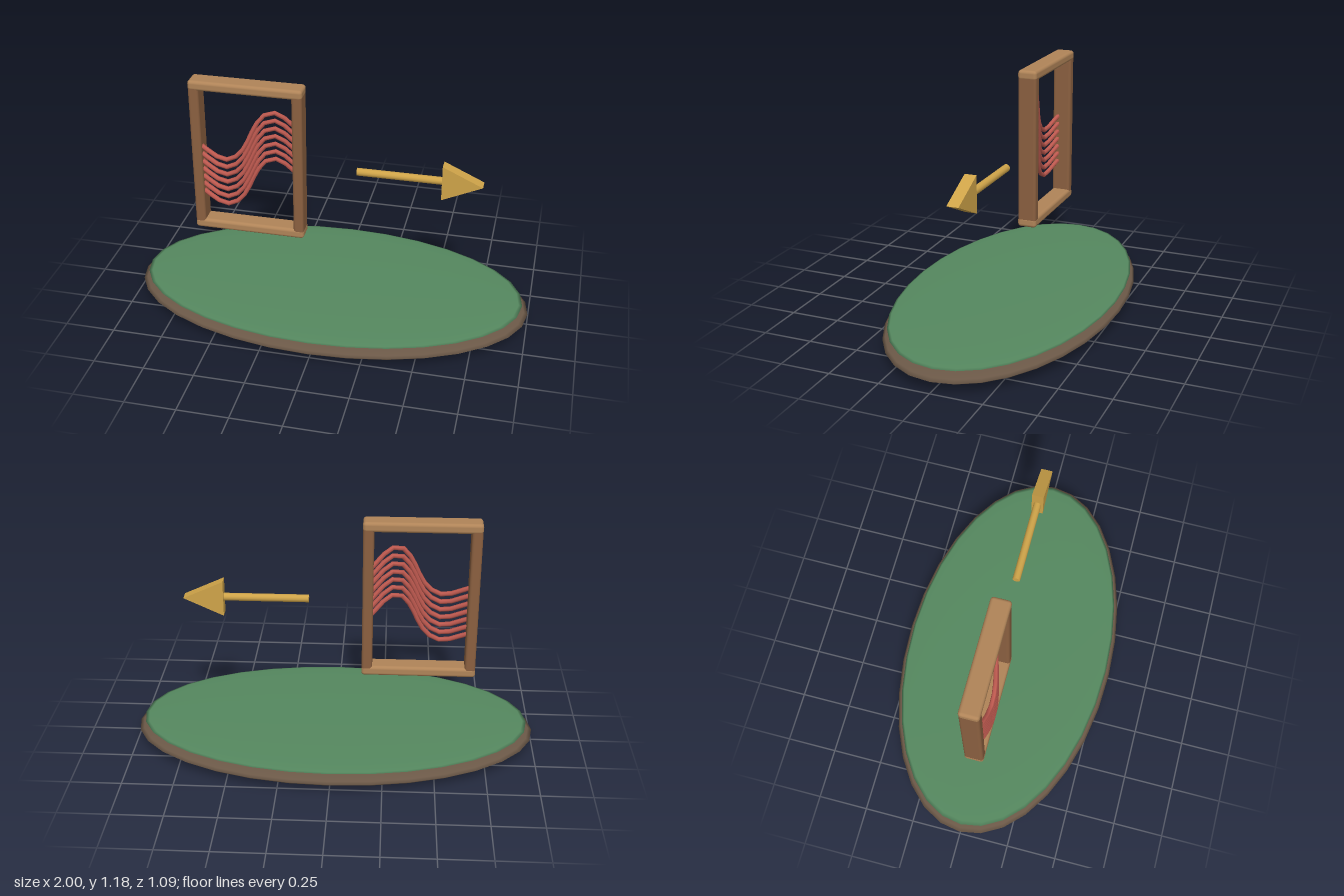
import * as THREE from 'three';
import { RoundedBoxGeometry } from 'three/addons/geometries/RoundedBoxGeometry.js';

const paint = (color) => new THREE.MeshStandardMaterial({ color });

export function createModel() {
  const model = new THREE.Group();
  const soil = paint(0x6b5847), grass = paint(0x55885f), darkWood = paint(0x8b6040);
  const lightWood = paint(0xb08458), red = paint(0xc05a50), gold = paint(0xcfa449);

  const add = (parent, name, geometry, material, x = 0, y = 0, z = 0) => {
    const mesh = new THREE.Mesh(geometry, material);
    mesh.name = name;
    mesh.position.set(x, y, z);
    parent.add(mesh);
    return mesh;
  };
  const group = (name) => {
    const g = new THREE.Group();
    g.name = name;
    model.add(g);
    return g;
  };

  // Flattened oval base with a thin green top
  const disc = (rx, ry, rz) => new THREE.SphereGeometry(1, 32, 16).scale(rx, ry, rz);
  add(model, 'base', disc(1, 0.058, 0.545), soil, 0, 0.058, 0);
  add(model, 'baseTop', disc(0.97, 0.017, 0.525), grass, 0, 0.105, 0);

  // Upright frame: two posts between two rails
  const frame = group('frame');
  const frameX = -0.415;
  for (const side of [-1, 1]) {
    add(frame, side < 0 ? 'rightPost' : 'leftPost',
      new RoundedBoxGeometry(0.052, 0.77, 0.096, 3, 0.014), darkWood, frameX + side * 0.254, 0.78, 0);
    add(frame, side < 0 ? 'bottomRail' : 'topRail',
      new RoundedBoxGeometry(0.562, 0.05, 0.098, 3, 0.016), lightWood, frameX, 0.78 + side * 0.38, 0);
  }

  // Seven parallel wavy strands, swelling gently forward as they cross the frame
  const strands = group('strands');
  const wave = [[-0.66, 0.838], [-0.595, 0.806], [-0.543, 0.785], [-0.492, 0.79], [-0.433, 0.844],
    [-0.37, 0.973], [-0.337, 1.022], [-0.302, 1.043], [-0.258, 1.033], [-0.215, 0.99], [-0.165, 0.935]];
  const curve = new THREE.CatmullRomCurve3(wave.map(([x, y]) =>
    new THREE.Vector3(x, y, 0.05 * Math.sin(7 * (x + 0.71)))));
  const strand = new THREE.TubeGeometry(curve, 13, 0.012, 6);
  for (let i = 0; i < 7; i++) add(strands, 'strand', strand, red, 0, -0.0413 * i, 0);

  // Floating arrow pointing to the side: round shaft and flat triangular head
  const arrow = group('arrow');
  add(arrow, 'arrowShaft', new THREE.CylinderGeometry(0.019, 0.019, 0.42, 12), gold, 0.335, 0.768, 0)
    .rotation.z = -Math.PI / 2;
  const triangle = new THREE.Shape([
    new THREE.Vector2(0, -0.09), new THREE.Vector2(0.195, 0), new THREE.Vector2(0, 0.09)]);
  const head = new THREE.ExtrudeGeometry(triangle, { depth: 0.058, bevelEnabled: false });
  add(arrow, 'arrowHead', head, gold, 0.54, 0.768, -0.029);

  return model;
}
